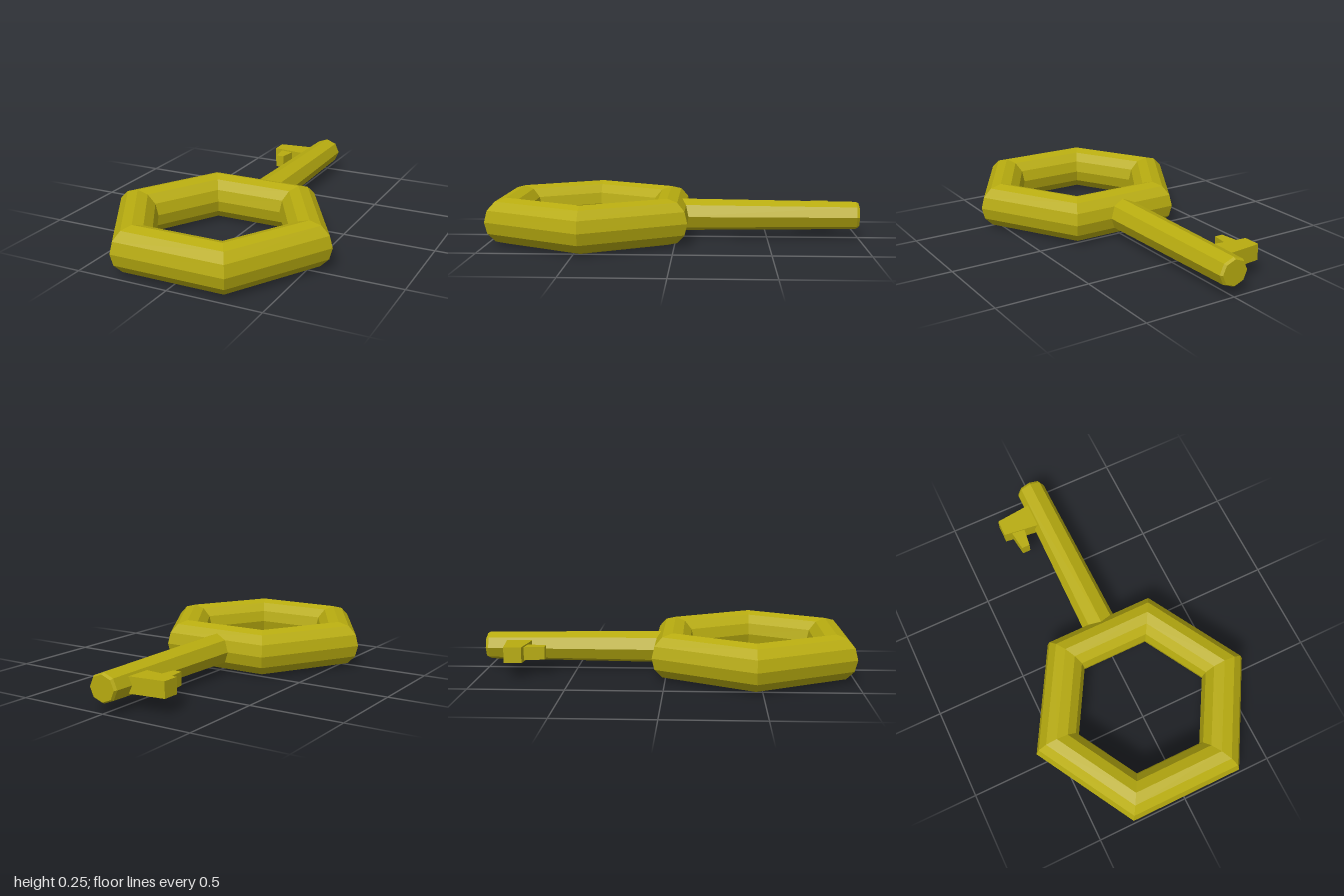
import * as THREE from 'three';

export function createModel() {
  const group = new THREE.Group();
  const gold = new THREE.MeshStandardMaterial({ color: 0xb8ac10, flatShading: true });
  gold.name = 'old gold';
  const midY = 0.124;

  const add = (name, geometry, x, y, z) => {
    const mesh = new THREE.Mesh(geometry, gold);
    mesh.name = name;
    mesh.position.set(x, y, z);
    group.add(mesh);
  };

  // Six-sided ring handle lying flat
  add('bow', new THREE.TorusGeometry(0.494, 0.124, 12, 6).rotateX(Math.PI / 2), 0, midY, 0.466);

  // Tapered eight-sided shaft with a slightly chamfered tip, running to -z
  const profile = [[0, -0.02], [0.089, -0.02], [0.076, 0.985], [0.068, 1], [0, 1]]
    .map(([r, d]) => new THREE.Vector2(r, d));
  const shaft = new THREE.LatheGeometry(profile, 8).rotateX(-Math.PI / 2).scale(1.07, 1, 1);
  add('shaft', shaft, 0, midY, 0);

  // Plates drawn in plan (x, z) and extruded upwards
  const plate = (points, thickness) => {
    const shape = new THREE.Shape(points.map(([x, z]) => new THREE.Vector2(x, -z)));
    return new THREE.ExtrudeGeometry(shape, { depth: thickness, bevelEnabled: false })
      .rotateX(-Math.PI / 2).translate(0, -thickness / 2, 0);
  };

  // Side bit near the tip, and its small tooth pointing back to the bow
  add('bit', plate([[-0.03, -0.885], [-0.26, -0.86], [-0.26, -0.765], [-0.03, -0.737]], 0.085), 0, midY, 0);
  add('tooth', plate([[-0.22, -0.78], [-0.203, -0.65], [-0.157, -0.65], [-0.14, -0.78]], 0.07), 0, midY, 0);

  return group;
}
